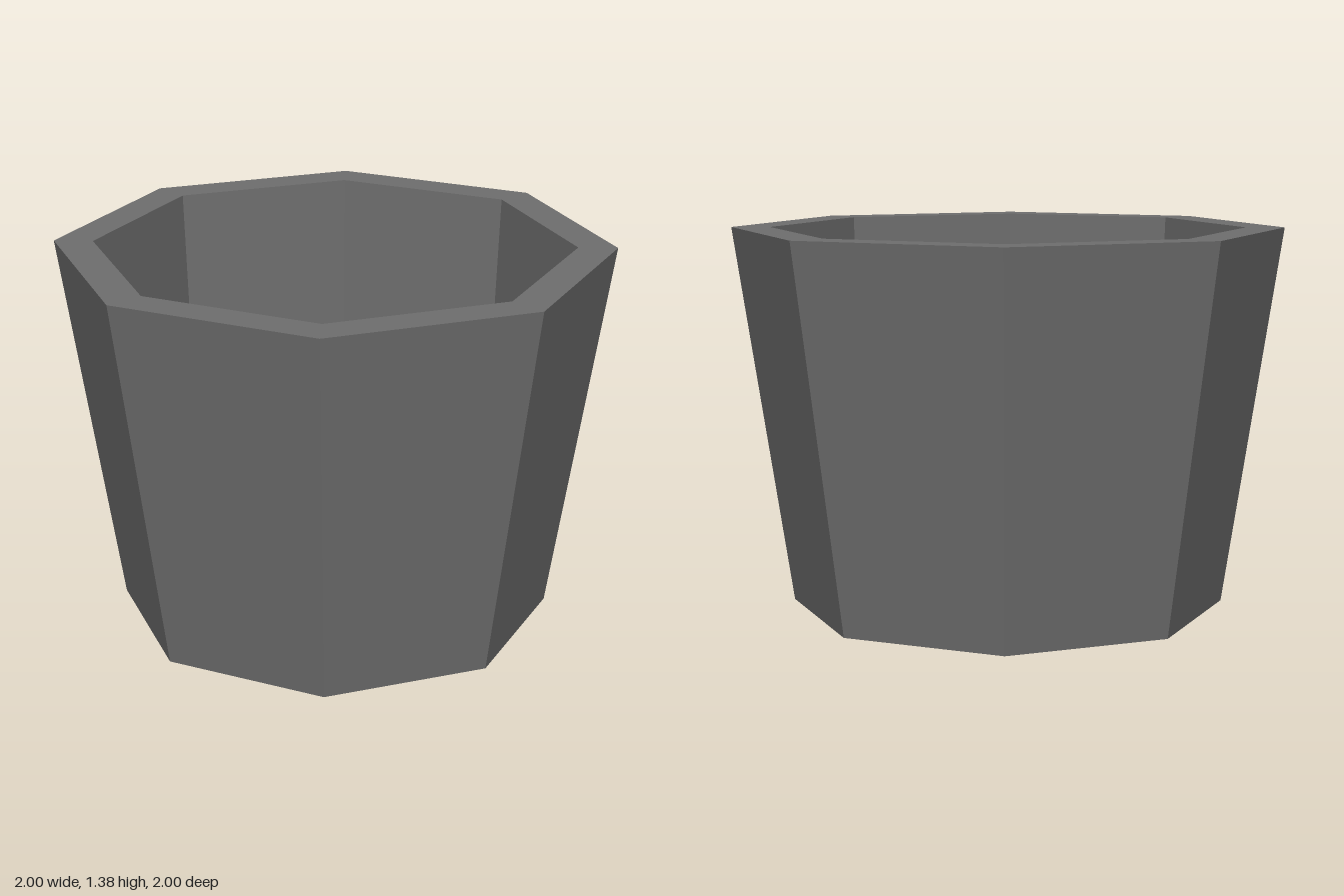
import * as THREE from 'three';

const SIDES = 8;
const HEIGHT = 1.38;
const BASE_RADIUS = 0.79;
const FLOOR_Y = 0.005;

export function createModel() {
  const group = new THREE.Group();
  group.name = 'planterPot';

  const grey = new THREE.MeshStandardMaterial({ color: 0x6e6e6e, flatShading: true });
  grey.name = 'stone grey';

  const add = (name, geometry) => {
    const faceted = geometry.toNonIndexed();
    faceted.computeVertexNormals();
    const mesh = new THREE.Mesh(faceted, grey);
    mesh.name = name;
    group.add(mesh);
  };

  // Eight-sided wall: up the outside, across the rim, down the inside
  const profile = [
    [BASE_RADIUS, 0],
    [1, HEIGHT],
    [0.86, HEIGHT],
    [BASE_RADIUS, FLOOR_Y],
  ].map(([r, y]) => new THREE.Vector2(r, y));
  add('potWall', new THREE.LatheGeometry(profile, SIDES));

  // Inside floor faces up, underside faces down
  const disc = () => new THREE.CircleGeometry(BASE_RADIUS, SIDES);
  add('insideFloor', disc().rotateX(-Math.PI / 2).translate(0, FLOOR_Y, 0));
  add('underside', disc().rotateX(Math.PI / 2));

  return group;
}
